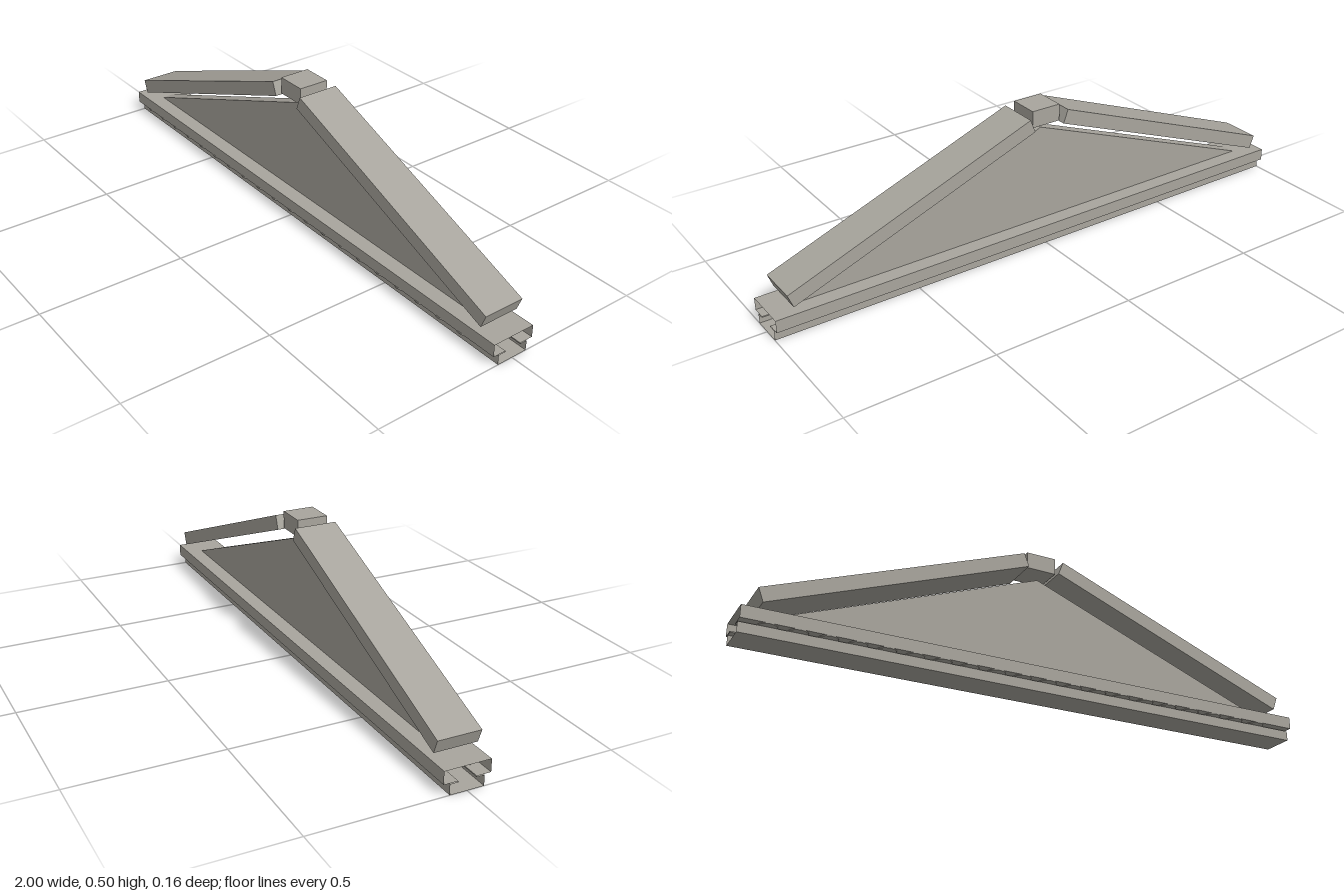
import * as THREE from 'three';

export function createModel() {
  const model = new THREE.Group();
  const stone = new THREE.MeshStandardMaterial({ color: 0xa8a59d, side: THREE.DoubleSide });
  stone.name = 'warm grey stone';

  function add(name, geometry, x = 0, y = 0, z = 0) {
    const mesh = new THREE.Mesh(geometry, stone);
    mesh.name = name;
    mesh.position.set(x, y, z);
    model.add(mesh);
    return mesh;
  }

  // Open-ended moulding: a (z, y) outline swept along x
  function sweep(outline, length) {
    const pos = [];
    const h = length / 2;
    outline.forEach(([z0, y0], i) => {
      const [z1, y1] = outline[(i + 1) % outline.length];
      const a = [-h, y0, z0], b = [h, y0, z0], c = [h, y1, z1], d = [-h, y1, z1];
      pos.push(...a, ...c, ...b, ...a, ...d, ...c);
    });
    const g = new THREE.BufferGeometry();
    g.setAttribute('position', new THREE.Float32BufferAttribute(pos, 3));
    g.computeVertexNormals();
    return g;
  }

  // Cornice: wide upper lip, thin recess, narrower lower band
  const half = [[0.077, 0.08], [0.077, 0.038], [0.03, 0.038], [0.03, 0.034], [0.056, 0.034], [0.056, 0]];
  const mirrored = half.map(([z, y]) => [-z, y]).reverse();
  add('cornice', sweep([...half, ...mirrored], 2));

  // Row of small flat discs under the front lip
  const disc = new THREE.CylinderGeometry(0.0325, 0.0325, 0.005, 12);
  for (let i = 0; i < 20; i++) add('corniceDisc', disc, -0.91 + i * 0.0932, 0.0375, 0.0475);

  // Triangular panel
  const triangle = new THREE.Shape([
    new THREE.Vector2(-0.9, 0.08), new THREE.Vector2(0.9, 0.08), new THREE.Vector2(0, 0.422),
  ]);
  add('gablePanel', new THREE.ExtrudeGeometry(triangle, { depth: 0.045, bevelEnabled: false }), 0, 0, -0.0225);

  // Sloping rails on both sides
  for (const side of [-1, 1]) {
    const rail = add(side > 0 ? 'leftRail' : 'rightRail', new THREE.BoxGeometry(0.941, 0.049, 0.145), side * 0.505, 0.2935, 0);
    rail.rotation.z = -side * 0.365;
  }

  // Block at the peak
  add('peakBlock', new THREE.BoxGeometry(0.106, 0.058, 0.106), 0, 0.473, 0);

  return model;
}
